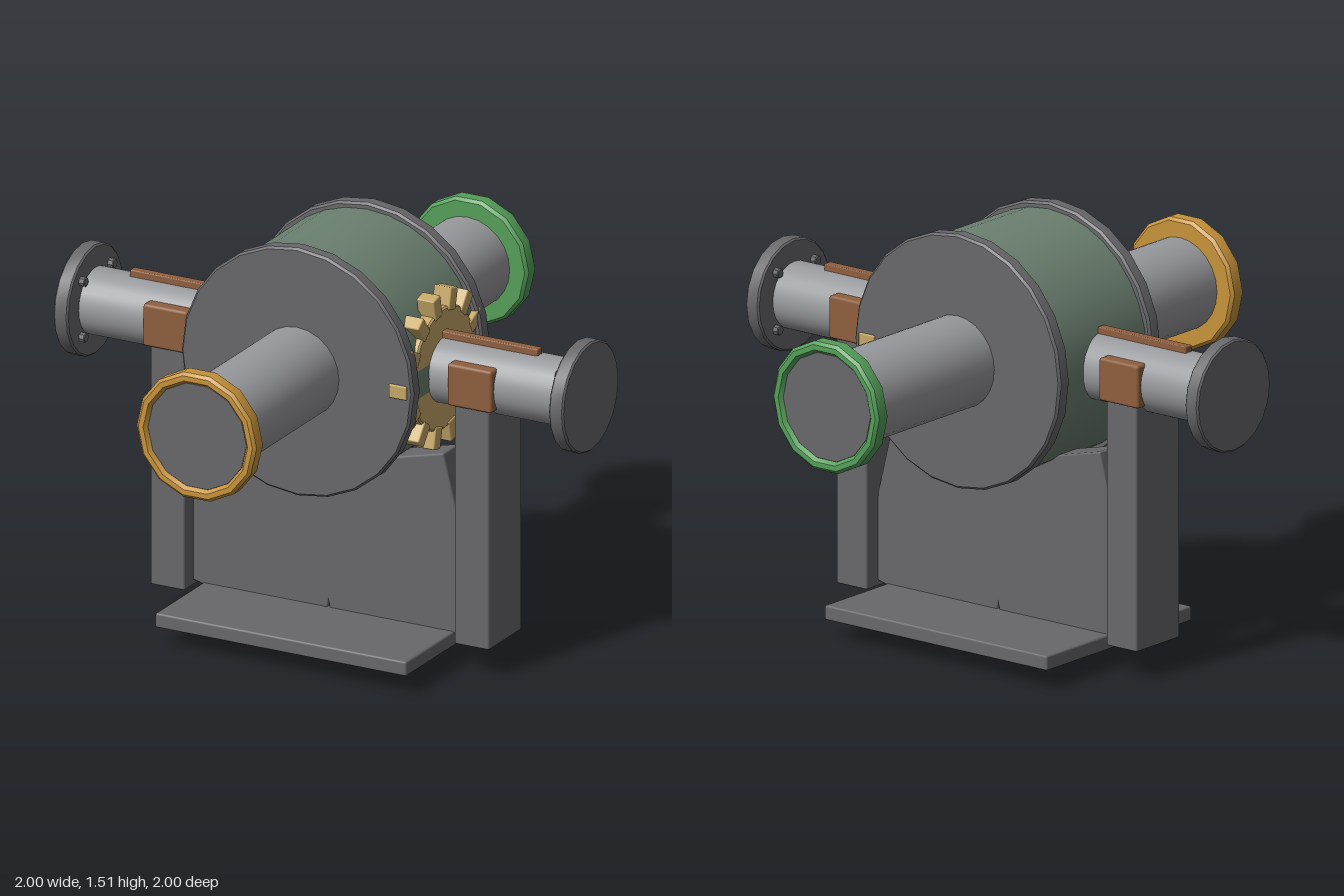
import * as THREE from 'three';
import { toCreasedNormals } from 'three/addons/utils/BufferGeometryUtils.js';
import { RoundedBoxGeometry } from 'three/addons/geometries/RoundedBoxGeometry.js';

const AXIS_Y = 1.07; // height of both crossing axes

function material(name, color) {
  const m = new THREE.MeshStandardMaterial({ color });
  m.name = name;
  return m;
}

// Lathe around y with smooth sides and sharp rims
function turned(points, sides) {
  const pts = points.map(([r, y]) => new THREE.Vector2(r, y));
  return toCreasedNormals(new THREE.LatheGeometry(pts, sides, Math.PI / 2), 0.5);
}

// Solid disc or rod with a small bevel on both rims, from y = a to y = b
function rod(radius, a, b, sides, bevel = 0.006) {
  return turned([
    [0, a], [radius - bevel, a], [radius, a + bevel],
    [radius, b - bevel], [radius - bevel, b], [0, b],
  ], sides);
}

export function createModel() {
  const model = new THREE.Group();
  model.name = 'valveAssembly';

  const darkGrey = material('dark grey', 0x68686b);
  const steel = material('steel grey', 0x98999c);
  const drumGreen = material('drum green', 0x6b8070);
  const orange = material('orange', 0xc8943a);
  const green = material('green', 0x55a05a);
  const brown = material('brown', 0x8f5f3e);
  const tan = material('tan', 0xc6a867);

  function add(parent, name, geometry, mat, x = 0, y = 0, z = 0) {
    const mesh = new THREE.Mesh(geometry, mat);
    mesh.name = name;
    mesh.position.set(x, y, z);
    parent.add(mesh);
    return mesh;
  }
  const box = (w, h, d, bevel = 0.007) => new RoundedBoxGeometry(w, h, d, 1, bevel);

  // Drum, lying along z
  const drum = new THREE.Group();
  drum.name = 'drum';
  drum.position.y = AXIS_Y;
  drum.rotation.x = Math.PI / 2;
  model.add(drum);
  add(drum, 'drumBody', rod(0.432, -0.23, 0.23, 32), drumGreen);

  // Front and back ends: drum flange, pipe and coloured end ring
  for (const [side, ringMat] of [[1, orange], [-1, green]]) {
    const end = new THREE.Group();
    end.name = side > 0 ? 'frontEnd' : 'backEnd';
    end.position.y = AXIS_Y;
    end.rotation.x = side * Math.PI / 2;
    model.add(end);
    add(end, 'drumFlange', rod(0.455, 0.222, 0.278, 24, 0.008), darkGrey);
    add(end, 'pipe', rod(0.165, 0.27, 0.97, 24), steel);
    add(end, 'pipeCap', rod(0.197, 0.945, 0.987, 14, 0.004), darkGrey);
    add(end, 'endRing', turned([
      [0.16, 0.936], [0.224, 0.936], [0.235, 0.946], [0.235, 0.99],
      [0.224, 1.0], [0.205, 1.0], [0.193, 0.985], [0.16, 0.936],
    ], 14), ringMat);
  }

  // Left and right sides: axle, end flange with bolts, key, bearing and post
  for (const side of [1, -1]) {
    const arm = new THREE.Group();
    arm.name = side > 0 ? 'leftArm' : 'rightArm';
    model.add(arm);

    const axle = new THREE.Group();
    axle.name = 'axleAssembly';
    axle.position.y = AXIS_Y;
    axle.rotation.z = -side * Math.PI / 2;
    arm.add(axle);
    add(axle, 'axle', rod(0.12, 0.36, 0.97, 24), steel);
    add(axle, 'axleFlange', rod(0.2, 0.943, 1.0, 20), darkGrey);
    for (let i = 0; i < 4; i++) {
      const a = Math.PI / 4 + i * Math.PI / 2;
      add(axle, 'bolt', rod(0.018, 0.922, 0.95, 8, 0.003), darkGrey,
        0.145 * Math.cos(a), 0, 0.145 * Math.sin(a));
    }

    add(arm, 'key', box(0.39, 0.04, 0.034, 0.004), brown, side * 0.605, 1.192, 0);
    add(arm, 'bearingBlock', box(0.175, 0.154, 0.272, 0.01), brown, side * 0.597, AXIS_Y, 0);
    add(arm, 'post', box(0.135, 0.89, 0.236), darkGrey, side * 0.597, 0.56, 0);

    // Tilted support plate, crossing its mirror image under the drum
    const plate = add(arm, 'supportPlate', box(0.59, 0.645, 0.11), darkGrey, side * 0.2425, 0.395, 0);
    plate.rotation.z = side * 0.245;
  }

  // Toothed gear on the left axle, facing along x
  const gear = new THREE.Group();
  gear.name = 'gear';
  gear.position.set(0.397, AXIS_Y, 0);
  model.add(gear);
  add(gear, 'gearDisc', rod(0.223, -0.03, 0.03, 28), tan).rotation.z = -Math.PI / 2;
  const toothGeometry = box(0.07, 0.05, 0.08, 0.005);
  for (let i = 0; i < 14; i++) {
    const a = i * Math.PI * 2 / 14;
    const tooth = add(gear, 'gearTooth', toothGeometry, tan,
      0, -0.245 * Math.sin(a), 0.245 * Math.cos(a));
    tooth.rotation.x = a;
  }

  // Base plate
  add(model, 'basePlate', box(0.985, 0.053, 0.79), darkGrey, 0, 0.106, 0);

  return model;
}
